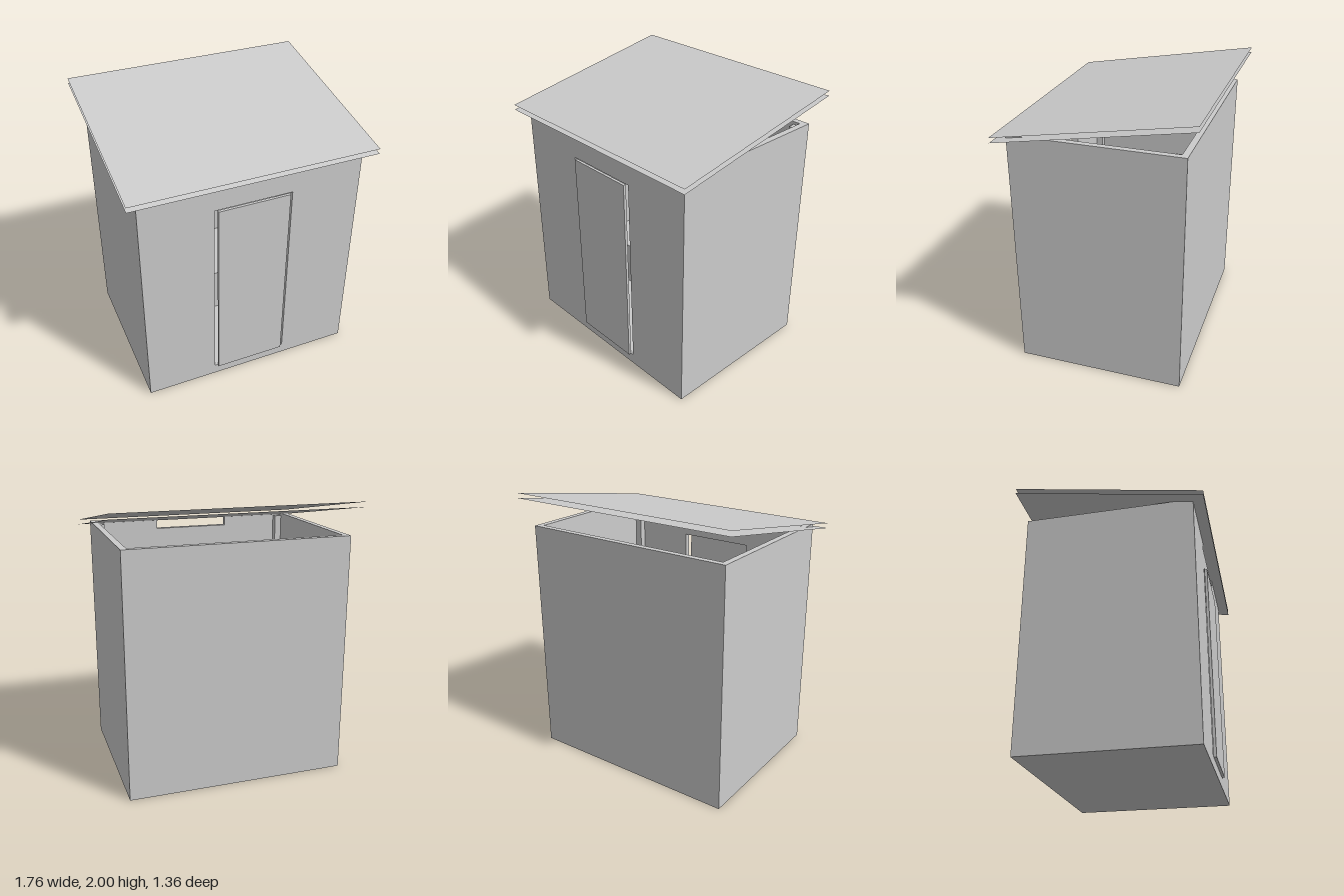
import * as THREE from 'three';

const material = new THREE.MeshStandardMaterial({ color: 0xcccccc, flatShading: true });
const sheetMaterial = new THREE.MeshStandardMaterial({ color: 0xcccccc, side: THREE.DoubleSide });

const W = 0.8, D = 0.6, H = 1.76, T = 0.045, FLOOR = 0.08;

export function createModel() {
  const group = new THREE.Group();

  const add = (name, geometry, mat = material) => {
    const mesh = new THREE.Mesh(geometry, mat);
    mesh.name = name;
    group.add(mesh);
    return mesh;
  };

  // Box given by its lower and upper limits on each axis
  const box = (name, x0, x1, y0, y1, z0, z1) =>
    add(name, new THREE.BoxGeometry(x1 - x0, y1 - y0, z1 - z0))
      .position.set((x0 + x1) / 2, (y0 + y1) / 2, (z0 + z1) / 2);

  // Floor, back wall and side walls
  box('floor', -W + T, W - T, 0, FLOOR, -D + T, D - T);
  box('backWall', -W, W, 0, H, -D, -D + T);
  for (const [side, s] of [['left', 1], ['right', -1]]) {
    const [x0, x1] = s > 0 ? [W - T, W] : [-W, -W + T];
    box(`${side}Wall`, x0, x1, 0, H, -D + T, D - T);
  }

  // Front wall with a vent notch at the top and a doorway
  const front = new THREE.Shape([
    [-W, 0], [W, 0], [W, H], [0.283, H], [0.283, 1.68], [-0.283, 1.68], [-0.283, H], [-W, H],
  ].map(([x, y]) => new THREE.Vector2(x, y)));
  front.holes.push(new THREE.Path([
    [-0.283, FLOOR], [-0.283, 1.522], [0.283, 1.522], [0.283, FLOOR],
  ].map(([x, y]) => new THREE.Vector2(x, y))));
  add('frontWall', new THREE.ExtrudeGeometry(front, { depth: T, bevelEnabled: false }))
    .position.z = D - T;

  // Door, narrower than its opening and set proud of the wall
  box('door', -0.26, 0.26, FLOOR, 1.52, D, D + 0.02);

  // Corner posts inside the walls
  const P = 0.05;
  for (const sx of [-1, 1]) {
    for (const sz of [-1, 1]) {
      const x = sx * (W - T - P / 2), z = sz * (D - T - P / 2);
      box('cornerPost', x - P / 2, x + P / 2, FLOOR, 1.74, z - P / 2, z + P / 2);
    }
  }

  // Bench across the rear half
  box('bench', -W + T, W - T, FLOOR, 0.44, -D + T, 0);

  // Two thin sloping roof sheets, rising to the back
  const run = 1.36, rise = 0.24;
  for (const [name, y] of [['upperRoofSheet', 1.76], ['lowerRoofSheet', 1.724]]) {
    const sheet = add(name, new THREE.PlaneGeometry(1.76, Math.hypot(run, rise)), sheetMaterial);
    sheet.rotation.x = -Math.PI / 2 + Math.atan2(rise, run);
    sheet.position.y = y + rise / 2;
  }

  return group;
}
